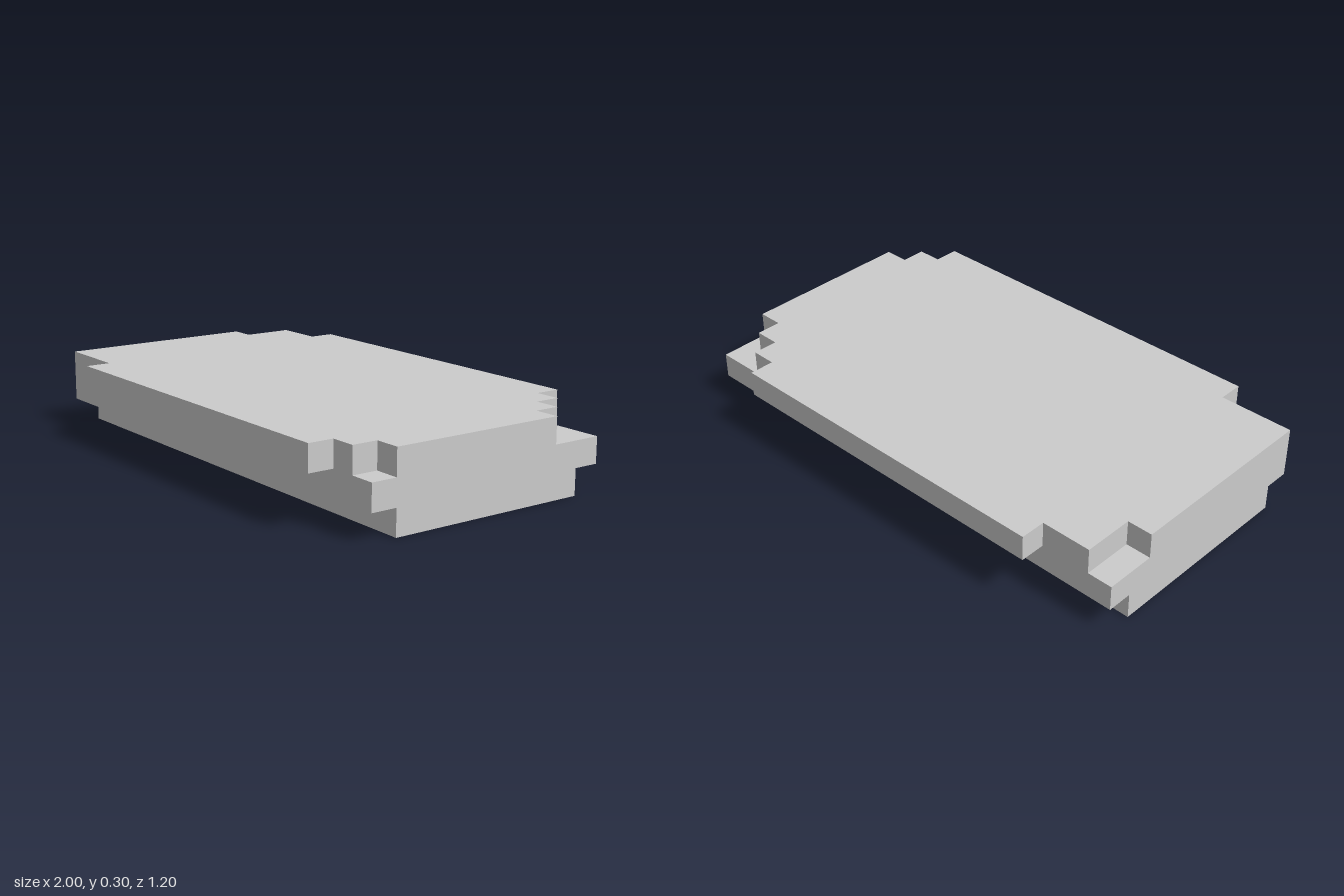
import * as THREE from 'three';

const material = new THREE.MeshStandardMaterial({ color: 0xcccccc, flatShading: true });
const LAYER = 0.1;

// Flat slab from an [x, z] outline, one layer thick
function slab(name, outline, y) {
  const shape = new THREE.Shape(outline.map(([x, z]) => new THREE.Vector2(x, -z)));
  const geometry = new THREE.ExtrudeGeometry(shape, { depth: LAYER, bevelEnabled: false });
  geometry.rotateX(-Math.PI / 2);
  const mesh = new THREE.Mesh(geometry, material);
  mesh.name = name;
  mesh.position.y = y;
  return mesh;
}

const rectangle = (x, z) => [[-x, z], [x, z], [x, -z], [-x, -z]];

export function createModel() {
  const group = new THREE.Group();
  group.name = 'steppedPlatform';

  // Lower layers widen upwards along z
  group.add(slab('baseLayer', rectangle(1, 0.4), 0));
  group.add(slab('middleLayer', rectangle(1, 0.5), LAYER));

  // Top layer with stepped, uneven corners
  const topOutline = [
    // front left corner
    [0.8, 0.6], [0.8, 0.5], [0.9, 0.5], [0.9, 0.4], [1, 0.4],
    // back left corner
    [1, -0.3], [0.9, -0.3], [0.9, -0.4], [0.8, -0.4], [0.8, -0.5], [0.7, -0.5], [0.7, -0.6],
    // back right corner
    [-0.7, -0.6], [-0.7, -0.5], [-0.9, -0.5], [-0.9, -0.3], [-1, -0.3],
    // front right corner
    [-1, 0.5], [-0.7, 0.5], [-0.7, 0.6],
  ];
  group.add(slab('topLayer', topOutline, 2 * LAYER));

  return group;
}
